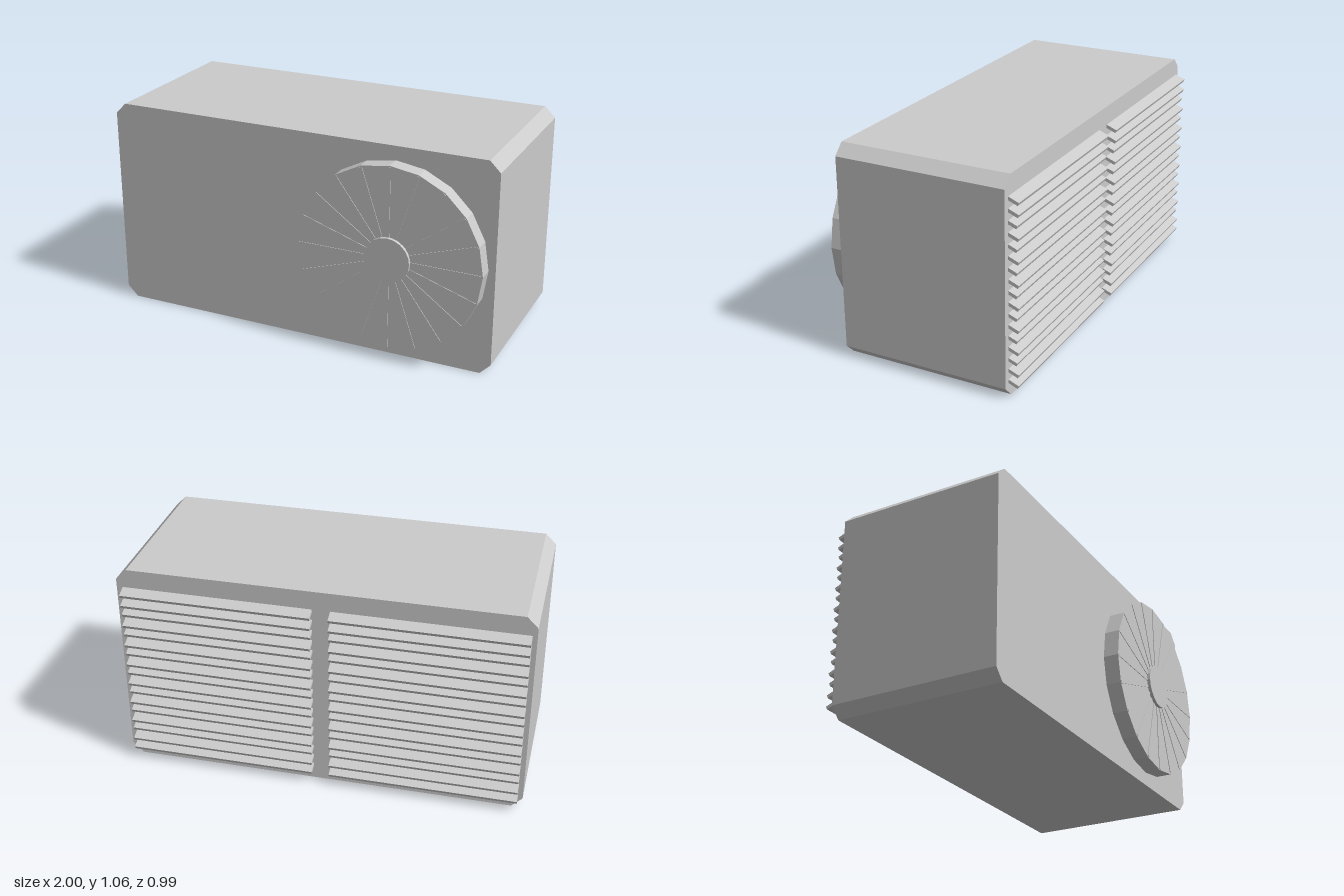
import * as THREE from 'three';

const material = new THREE.MeshStandardMaterial({ color: 0xcccccc, flatShading: true });

function part(name, geometry, parent) {
  const mesh = new THREE.Mesh(geometry, material);
  mesh.name = name;
  parent.add(mesh);
  return mesh;
}

// Disc whose axis points along z, spanning z0 to z1, with a corner at the top
function disc(name, radius, z0, z1, parent) {
  const geometry = new THREE.CylinderGeometry(radius, radius, z1 - z0, 20);
  geometry.rotateX(Math.PI / 2);
  geometry.translate(0, 0, (z0 + z1) / 2);
  return part(name, geometry, parent);
}

export function createModel() {
  const model = new THREE.Group();
  model.name = 'outdoorUnit';

  // Casing: box with the four long edges chamfered
  const w = 1, h = 1.06, c = 0.053, back = -0.445, front = 0.403;
  const outline = new THREE.Shape([
    [-w + c, 0], [w - c, 0], [w, c], [w, h - c],
    [w - c, h], [-w + c, h], [-w, h - c], [-w, c],
  ].map(([x, y]) => new THREE.Vector2(x, y)));
  const casing = new THREE.ExtrudeGeometry(outline, { depth: front - back, bevelEnabled: false });
  casing.translate(0, 0, back);
  part('casing', casing, model);

  // Fan: drum, thin radial spokes and a raised hub
  const fan = new THREE.Group();
  fan.name = 'fan';
  fan.position.set(0.505, 0.53, 0);
  model.add(fan);
  disc('fanDrum', 0.461, 0.39, 0.481, fan);
  disc('fanHub', 0.113, 0.47, 0.498, fan);
  const spoke = new THREE.BoxGeometry(0.355, 0.014, 0.01);
  spoke.translate(0.2775, 0, 0.479);
  for (let i = 0; i < 20; i++) {
    part('fanSpoke', spoke, fan).rotation.z = (i / 20) * Math.PI * 2;
  }

  // Louvres: two banks of slats sloping down and out from the back
  const slope = 0.38, count = 17;
  for (const x of [-0.512, 0.505]) {
    const bank = new THREE.Group();
    bank.name = 'louvreBank';
    bank.position.set(x, 0, back);
    model.add(bank);
    for (let i = 0; i < count; i++) {
      const reach = i === 0 || i === count - 1 || i % 2 === 1 ? 0.052 : 0.044;
      const slat = new THREE.BoxGeometry(0.93, 0.016, reach + 0.015);
      slat.translate(0, 0, (0.015 - reach) / 2);
      const mesh = part('louvreSlat', slat, bank);
      mesh.position.y = 0.078 + i * 0.055;
      mesh.rotation.x = -slope;
    }
  }
  return model;
}
